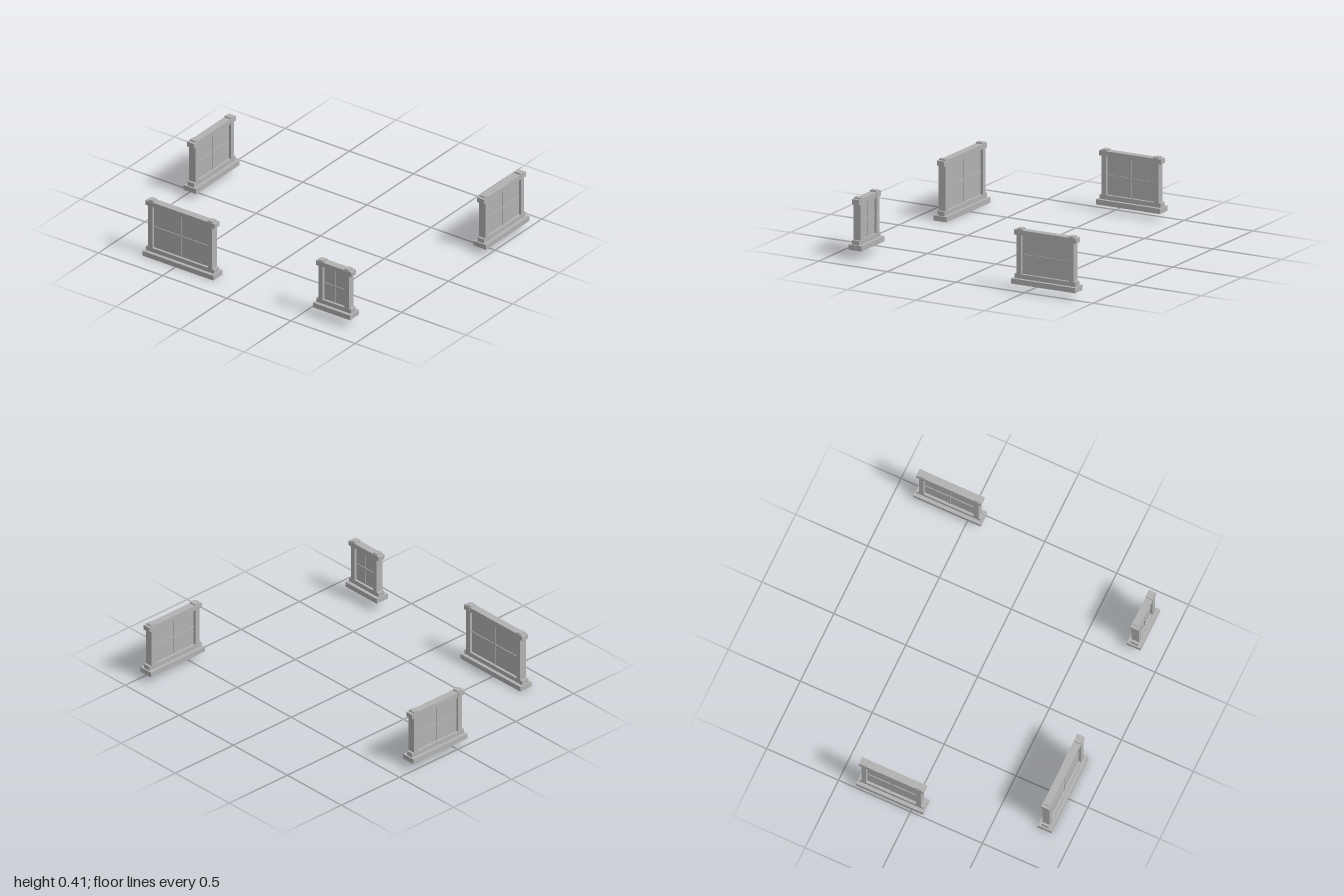
import * as THREE from 'three';

const stone = new THREE.MeshStandardMaterial({ color: 0xb2b2b2 });
stone.name = 'grey';

function addBox(group, name, w, h, d, x, y, z = 0) {
  const mesh = new THREE.Mesh(new THREE.BoxGeometry(w, h, d), stone);
  mesh.name = name;
  mesh.position.set(x, y + h / 2, z);
  group.add(mesh);
}

// One framed window facing +z; w is the sill length, y0 the underside, y1 the lintel top
function makeWindow(name, w, y0, y1) {
  const g = new THREE.Group();
  g.name = name;
  const depth = 0.05, paneW = w - 0.12, paneY = y0 + 0.063, headY = y1 - 0.033;
  const paneH = headY - paneY;

  // Stepped sill
  addBox(g, 'sill', w, 0.034, 0.096, 0, y0);
  addBox(g, 'sillStep', w - 0.02, 0.029, depth, 0, y0 + 0.034);

  // Lintel, with a block and a small cap at each end
  addBox(g, 'lintel', w - 0.12, 0.033, depth, 0, headY);
  for (const s of [-1, 1]) {
    addBox(g, 'cornerBlock', 0.053, 0.033, 0.052, s * (w / 2 - 0.0335), headY);
    addBox(g, 'cornerCap', 0.036, 0.009, 0.044, s * (w / 2 - 0.045), y1);
    addBox(g, 'jamb', 0.034, paneH, depth, s * (w / 2 - 0.043), paneY);
  }

  // Recessed pane with crossing glazing bars on both faces
  addBox(g, 'pane', paneW, paneH, 0.016, 0, paneY);
  addBox(g, 'verticalBar', 0.007, paneH, 0.026, 0, paneY);
  addBox(g, 'horizontalBar', paneW, 0.007, 0.026, 0, paneY + paneH / 2 - 0.0035);
  return g;
}

export function createModel() {
  const model = new THREE.Group();
  model.name = 'windowSet';
  // name, sill length, bottom, lintel top, x, z, turn
  const layout = [
    ['wideFrontWindow', 0.552, 0, 0.392, -0.479, 0.817, 0],
    ['narrowFrontWindow', 0.291, 0.061, 0.392, 0.718, 0.817, 0],
    ['rightSideWindow', 0.466, 0.046, 0.396, -0.952, -0.146, -Math.PI / 2],
    ['leftSideWindow', 0.466, 0.046, 0.396, 0.952, -0.635, Math.PI / 2],
  ];
  for (const [name, w, y0, y1, x, z, turn] of layout) {
    const win = makeWindow(name, w, y0, y1);
    win.position.set(x, 0, z);
    win.rotation.y = turn;
    model.add(win);
  }
  return model;
}
